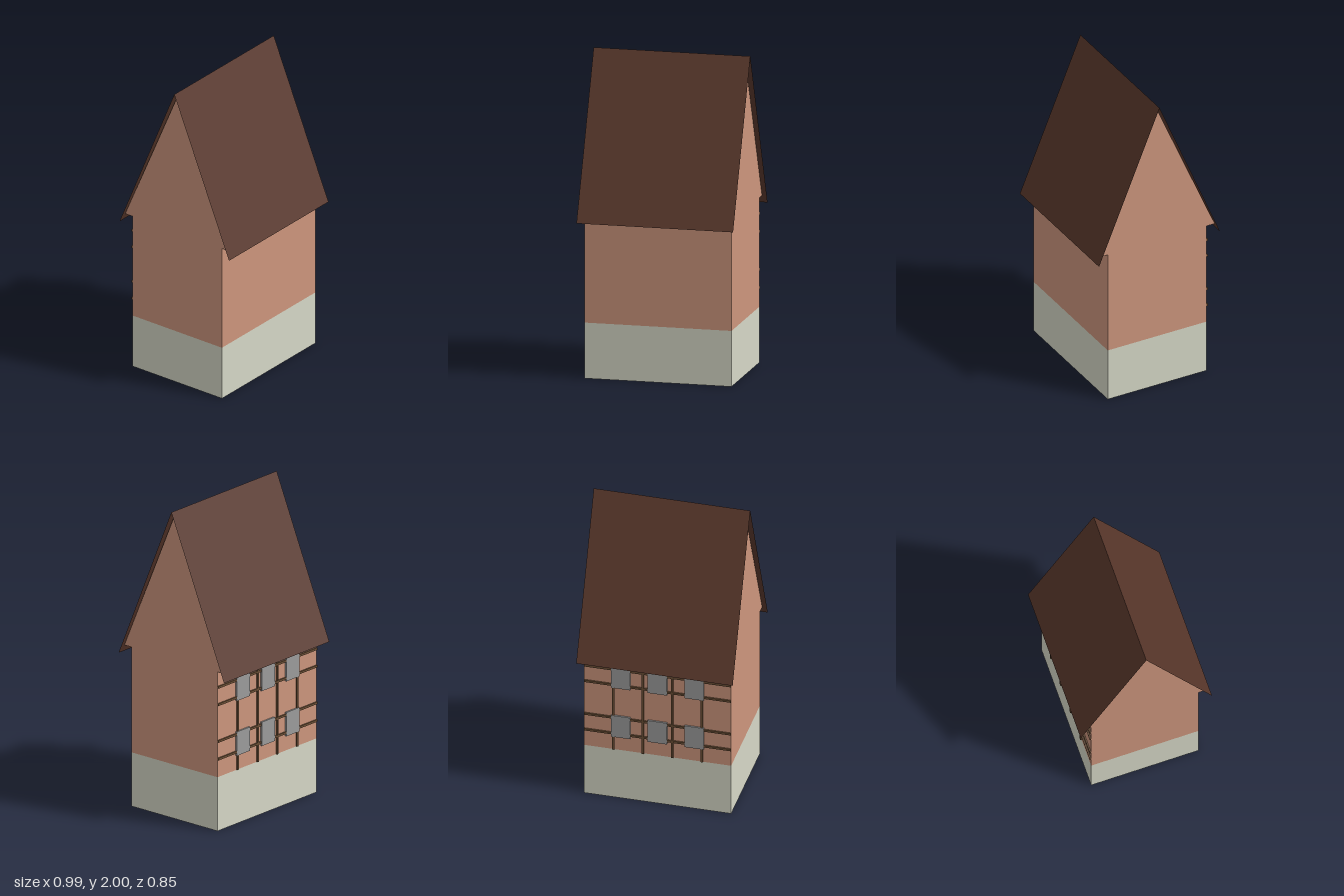
import * as THREE from 'three';

const mat = (color, side = THREE.FrontSide) =>
  new THREE.MeshStandardMaterial({ color, side, flatShading: true });

const W = 0.93;       // wall length along x
const BACK = -0.347;  // back wall plane

export function createModel() {
  const house = new THREE.Group();
  house.name = 'house';
  const plaster = mat(0xcd967d);
  const stone = mat(0xd6d8c7);
  const timber = mat(0x6b4f35);
  const glass = mat(0x9c9c9c);
  const tiles = mat(0x5a382c, THREE.DoubleSide);

  const add = (parent, name, geometry, material) => {
    const mesh = new THREE.Mesh(geometry, material);
    mesh.name = name;
    parent.add(mesh);
    return mesh;
  };
  const box = (parent, name, material, w, h, d, x, y, z) =>
    add(parent, name, new THREE.BoxGeometry(w, h, d), material).position.set(x, y, z);

  // Stone base
  box(house, 'base', stone, W, 0.35, 2 * -BACK, 0, 0.175, 0);

  // Walls and gables: one end profile swept along x
  const profile = new THREE.Shape([
    [BACK, 0.35], [-BACK, 0.35], [-BACK, 1.035], [0.404, 1.035],
    [0, 1.97], [-0.404, 1.035], [BACK, 1.035],
  ].map(([z, y]) => new THREE.Vector2(z, y)));
  const walls = new THREE.ExtrudeGeometry(profile, { depth: W, bevelEnabled: false });
  walls.translate(0, 0, -W / 2).rotateY(Math.PI / 2);
  add(house, 'walls', walls, plaster);

  // Roof: two thin slopes meeting at the ridge
  const run = 0.425, rise = 1.012;
  const roof = new THREE.Group();
  roof.name = 'roof';
  house.add(roof);
  for (const s of [1, -1]) {
    const slope = new THREE.PlaneGeometry(0.99, Math.hypot(run, rise));
    slope.rotateX(-Math.atan2(run, rise));
    slope.translate(0, 2 - rise / 2, run / 2);
    if (s < 0) slope.rotateY(Math.PI);
    add(roof, s > 0 ? 'frontSlope' : 'backSlope', slope, tiles);
  }

  // Timber framing on the back wall
  const frame = new THREE.Group();
  frame.name = 'timberFrame';
  house.add(frame);
  for (let i = 1; i < 5; i++)
    box(frame, 'post', timber, 0.014, 0.685, 0.009, -W / 2 + i * W / 5, 0.6925, BACK - 0.0045);
  for (const y of [0.468, 0.583, 0.822, 0.935])
    box(frame, 'rail', timber, W, 0.014, 0.009, 0, y, BACK - 0.0045);

  // Two rows of three windows on the back wall
  const windows = new THREE.Group();
  windows.name = 'windows';
  house.add(windows);
  for (const y of [0.523, 0.88])
    for (const i of [-1, 0, 1])
      box(windows, 'window', glass, 0.122, 0.155, 0.011, i * W / 4, y, BACK - 0.0055);

  return house;
}
